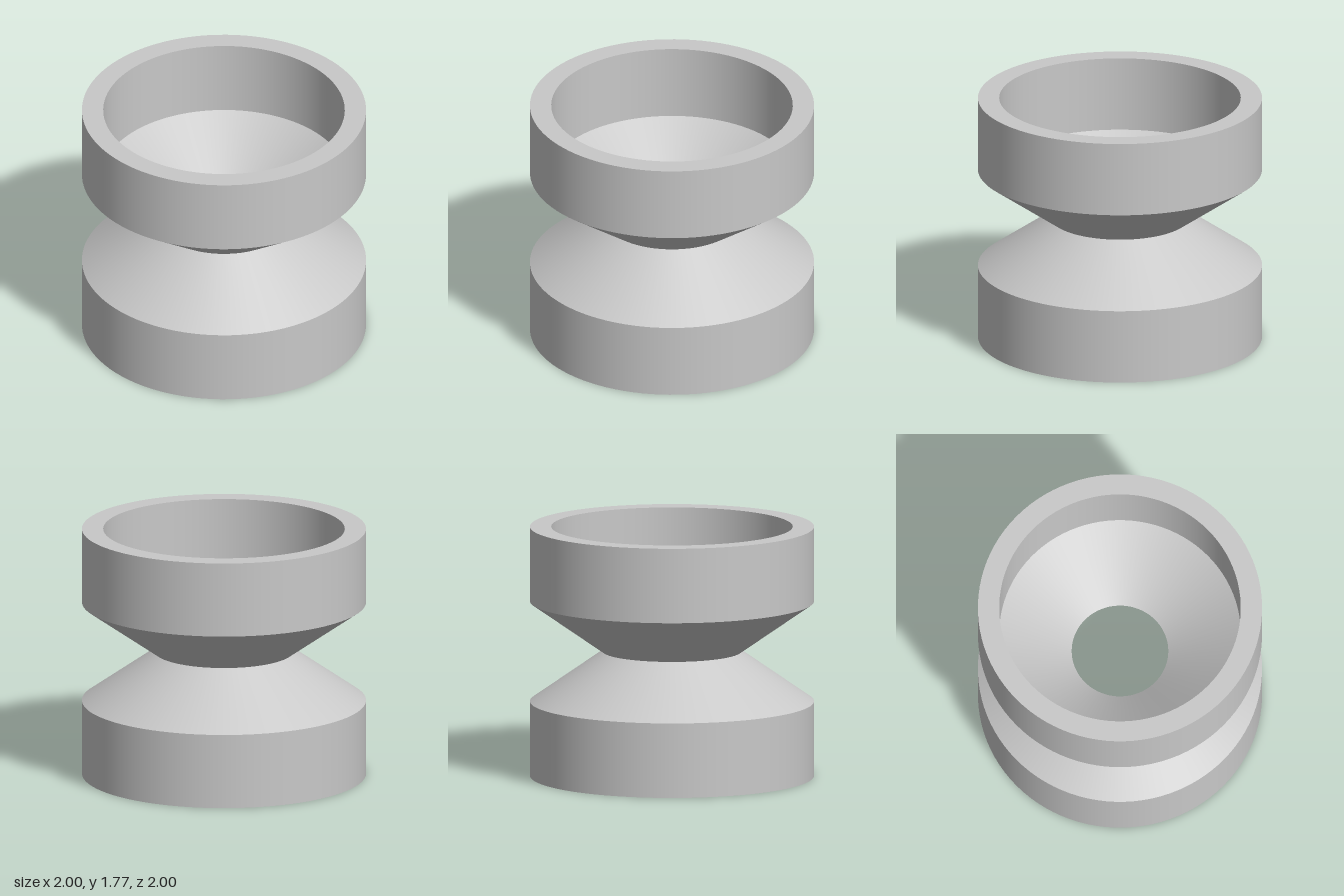
import * as THREE from 'three';
import { mergeGeometries } from 'three/addons/utils/BufferGeometryUtils.js';

const SEGMENTS = 96;
const HEIGHT = 1.775;
const MID = HEIGHT / 2;

// Revolve each profile edge on its own, so the edges between bands stay sharp
function revolve(profile) {
  const bands = [];
  for (let i = 0; i < profile.length - 1; i++) {
    bands.push(new THREE.LatheGeometry([profile[i], profile[i + 1]], SEGMENTS));
  }
  return mergeGeometries(bands);
}

export function createModel() {
  const group = new THREE.Group();
  group.name = 'doubleCup';
  const grey = new THREE.MeshStandardMaterial({ color: 0xc8c8c8 });
  grey.name = 'grey';

  // Half profile above the waist: outer cone, outer wall, rim, inner wall, inner cone
  const half = [[0.49, 0], [1, 0.357], [1, MID], [0.85, MID], [0.85, 0.357], [0.34, 0]];
  const upper = half.map(([r, y]) => new THREE.Vector2(r, MID + y));
  const lower = half.map(([r, y]) => new THREE.Vector2(r, MID - y)).reverse();

  // Two open cups joined at the hollow waist
  for (const [name, profile] of [['upperCup', upper], ['lowerCup', lower]]) {
    const cup = new THREE.Mesh(revolve(profile), grey);
    cup.name = name;
    group.add(cup);
  }
  return group;
}
